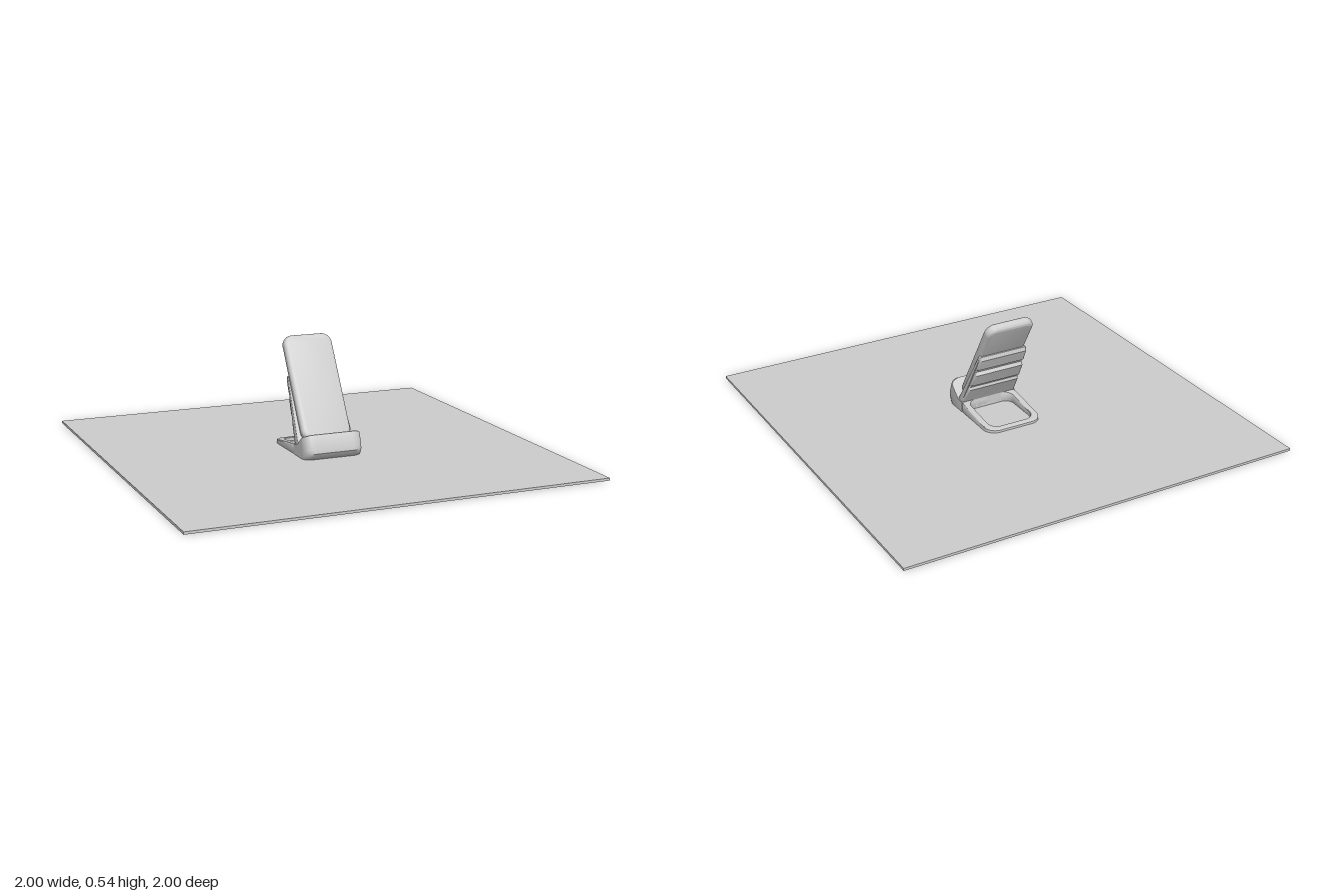
import * as THREE from 'three';
import { toCreasedNormals } from 'three/addons/utils/BufferGeometryUtils.js';

// Rounded rectangle centred on (cx, cy)
function roundedRect(path, w, h, r, cx = 0, cy = 0) {
  const x = w / 2 - r, y = h / 2 - r;
  path.absarc(cx + x, cy + y, r, 0, Math.PI / 2);
  path.absarc(cx - x, cy + y, r, Math.PI / 2, Math.PI);
  path.absarc(cx - x, cy - y, r, Math.PI, Math.PI * 1.5);
  path.absarc(cx + x, cy - y, r, Math.PI * 1.5, Math.PI * 2);
  path.closePath();
  return path;
}

// Move every vertex by a rule
function reshape(geometry, rule) {
  const p = geometry.attributes.position, v = new THREE.Vector3();
  for (let i = 0; i < p.count; i++) {
    rule(v.fromBufferAttribute(p, i));
    p.setXYZ(i, v.x, v.y, v.z);
  }
  return geometry;
}

// Side profile of [z, y] points swept across x and centred
function sweepAcross(points, width, steps, bevel = 0) {
  const shape = new THREE.Shape(points.map(([z, y]) => new THREE.Vector2(z, y)));
  const depth = width - 2 * bevel;
  const g = new THREE.ExtrudeGeometry(shape, {
    depth, steps, bevelEnabled: bevel > 0, bevelThickness: bevel,
    bevelSize: bevel, bevelOffset: -bevel, bevelSegments: 3,
  });
  return g.translate(0, 0, -depth / 2).rotateY(-Math.PI / 2);
}

export function createModel() {
  const model = new THREE.Group();
  const grey = new THREE.MeshStandardMaterial({ color: 0xcccccc });
  grey.name = 'light grey';
  const add = (name, geometry, parent = model, crease = 0.6) => {
    const mesh = new THREE.Mesh(toCreasedNormals(geometry, crease), grey);
    mesh.name = name;
    parent.add(mesh);
    return mesh;
  };

  // Thin square ground sheet
  add('groundSheet', new THREE.BoxGeometry(2, 0.012, 2).translate(0, 0.006, 0));

  // Front tray with raised lip, its front corners rounded in plan
  const half = 0.147, radius = 0.05;
  const tray = sweepAcross([
    [0.07, 0.01], [0.2, 0.01], [0.215, 0.022], [0.228, 0.045], [0.226, 0.062],
    [0.204, 0.122], [0.199, 0.13], [0.192, 0.13], [0.11, 0.073], [0.07, 0.066],
  ], half * 2, 40);
  reshape(tray, (v) => {
    const t = Math.max(0, (Math.abs(v.x) - half + radius) / radius);
    const inset = 1 - Math.sqrt(Math.max(0, 1 - t * t));
    if (v.z > 0.1) v.z = 0.1 + (v.z - 0.1) * (1 - 0.35 * inset);
    if (v.y > 0.05) v.y = 0.05 + (v.y - 0.05) * (1 - 0.25 * inset);
  });
  add('frontTray', tray);

  // Open base loop, sloping down to the back
  const loop = roundedRect(new THREE.Shape(), 0.294, 0.31, 0.06, 0, 0.045);
  loop.holes.push(roundedRect(new THREE.Path(), 0.23, 0.24, 0.045, 0, 0.05));
  const base = new THREE.ExtrudeGeometry(loop, {
    depth: 1, curveSegments: 10, bevelEnabled: true, bevelThickness: 0.2,
    bevelSize: 0.008, bevelOffset: -0.008, bevelSegments: 2,
  }).rotateX(-Math.PI / 2);
  reshape(base, (v) => {
    v.z = v.z < -0.1 ? -0.1 + (v.z + 0.1) * 1.0 : v.z;
    const top = THREE.MathUtils.mapLinear(v.z, -0.2, 0.11, 0.026, 0.068);
    v.y = 0.008 + ((v.y + 0.2) / 1.4) * (top - 0.008);
  });
  add('baseLoop', base);

  // Everything that leans back
  const leaning = new THREE.Group();
  leaning.name = 'leaningBack';
  leaning.position.set(0, 0.08, 0.123);
  leaning.rotation.x = -0.53;
  model.add(leaning);

  // Backrest slab with fully rounded rim
  const slab = new THREE.ExtrudeGeometry(roundedRect(new THREE.Shape(), 0.25, 0.53, 0.05), {
    depth: 0.006, curveSegments: 10, bevelEnabled: true, bevelThickness: 0.021,
    bevelSize: 0.021, bevelOffset: -0.021, bevelSegments: 6,
  }).translate(0, 0.265, -0.003);
  add('backrestSlab', slab, leaning);

  // Ridged support behind the slab, flaring toward the base
  const support = sweepAcross([
    [-0.015, -0.02], [-0.015, 0.335], [-0.03, 0.34], [-0.044, 0.325],
    [-0.05, 0.262], [-0.042, 0.252], [-0.042, 0.238], [-0.058, 0.228],
    [-0.06, 0.15], [-0.05, 0.14], [-0.05, 0.125], [-0.06, 0.115],
    [-0.055, 0.02], [-0.055, -0.02],
  ], 0.25, 1, 0.006);
  reshape(support, (v) => {
    const t = THREE.MathUtils.clamp((0.33 - v.y) / 0.3, 0, 1);
    v.x *= 1 + 0.15 * t * t;
  });
  add('rearSupport', support, leaning);

  return model;
}
